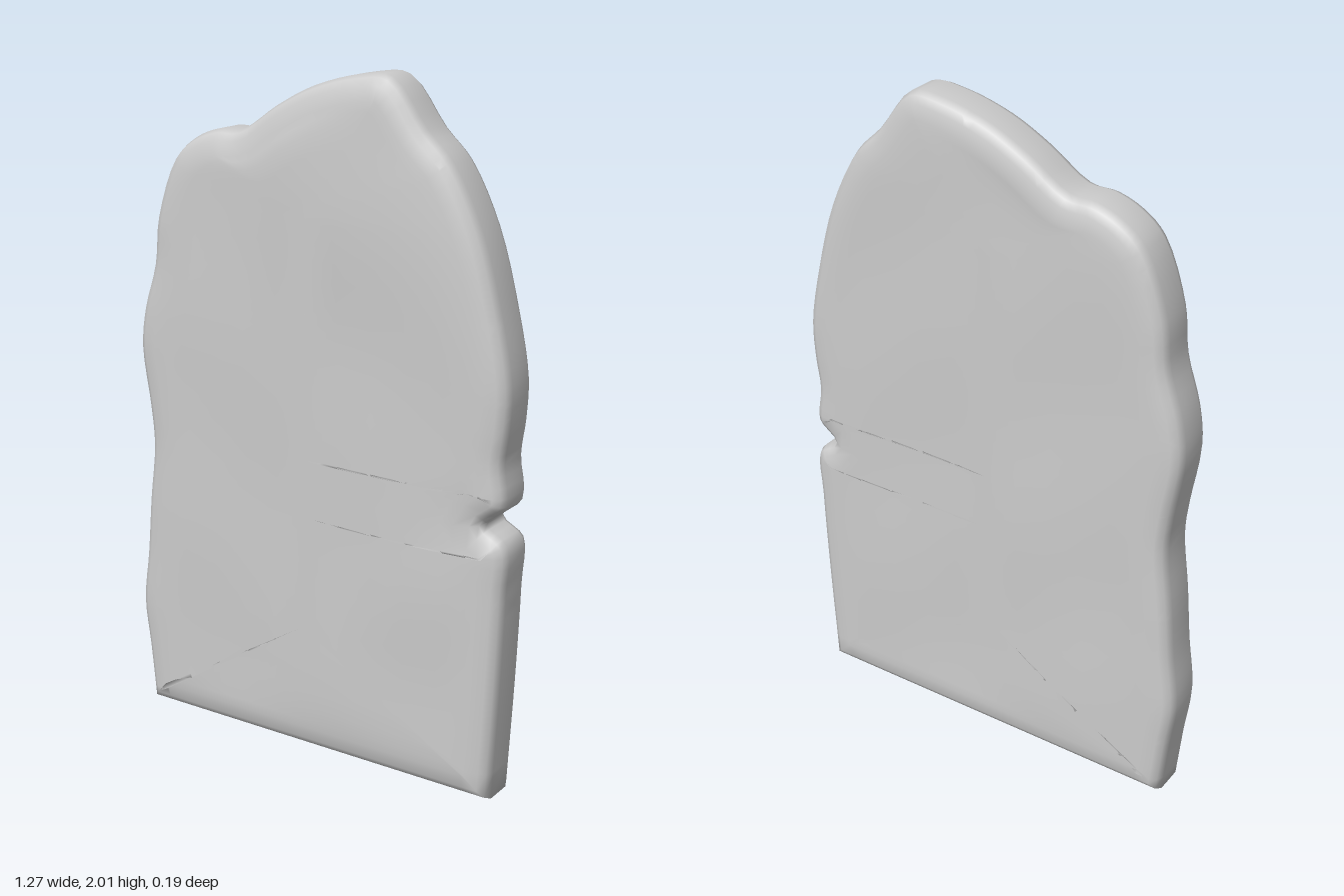
import * as THREE from 'three';

// Weathered silhouette, from the bottom left corner over the top to the bottom right
const OUTLINE = [
  [-0.6, 0], [-0.618, 0.18], [-0.635, 0.33], [-0.615, 0.5], [-0.6, 0.67], [-0.58, 0.85], [-0.59, 0.97],
  [-0.615, 1.15], [-0.6, 1.27], [-0.557, 1.41], [-0.54, 1.55], [-0.47, 1.73], [-0.4, 1.79], [-0.32, 1.82],
  [-0.24, 1.825], [-0.12, 1.9], [0, 1.96], [0.15, 2], [0.25, 2], [0.36, 1.87], [0.44, 1.79], [0.53, 1.62],
  [0.595, 1.4], [0.63, 1.22], [0.627, 1.1], [0.615, 1], [0.625, 0.88], [0.565, 0.82], [0.63, 0.77],
  [0.63, 0.62], [0.62, 0.33], [0.603, 0],
];

// One point inside each broken stone piece
const SEEDS = [
  [0.22, 1.89], [-0.06, 1.88], [-0.29, 1.76], [-0.42, 1.52], [-0.05, 1.4], [0.2, 1.64], [0.5, 1.56],
  [0.43, 1.29], [0.11, 1.1], [0.43, 1.02], [0.57, 0.93], [0.25, 0.85], [0.48, 0.75], [0.5, 0.6],
  [0.59, 0.47], [0.28, 0.55], [-0.03, 0.56], [-0.15, 0.92], [-0.39, 0.86], [-0.55, 0.82], [-0.44, 1.12],
  [-0.5, 1.34], [-0.5, 0.46], [-0.29, 0.49], [-0.34, 0.1], [0.21, 0.1],
].map(([x, y], i) => new THREE.Vector3(x, y, 0.05 * Math.sin(i * 2.4)));

// Rounded rim: inset from the silhouette and depth, front to back
const RIM = [
  [0.07, 0.08], [0.03, 0.072], [0.01, 0.058], [0, 0.035],
  [0, -0.05], [0.01, -0.073], [0.03, -0.086], [0.07, -0.09],
];
const INNER = [0, 0.2, 0.4, 0.6, 0.8, 0.92];

const bump = (x, y, cx, cy, r) => Math.exp(-((x - cx) ** 2 + (y - cy) ** 2) / (r * r));

// Gentle unevenness of the two broad faces
function faceOffset(x, y, front) {
  const wave = Math.sin(x * 8 + y * 3) * Math.sin(y * 6 - x * 2);
  if (!front) return 0.004 * wave;
  return 0.005 + 0.004 * wave + 0.01 * bump(x, y, 0.1, 1.58, 0.25) + 0.01 * bump(x, y, 0.38, 0.55, 0.18)
    - 0.018 * bump(x, y, 0.54, 0.84, 0.07);
}

function sampleOutline() {
  const curve = new THREE.CatmullRomCurve3(OUTLINE.map(([x, y]) => new THREE.Vector3(x, y, 0)));
  const pts = curve.getPoints((OUTLINE.length - 1) * 4);
  const first = pts[0], last = pts[pts.length - 1];
  for (let i = 1; i < 16; i++) pts.push(last.clone().lerp(first, i / 16));
  return pts;
}

// Whole slab: rings running from the front middle, round the rim, to the back middle
function slabGeometry() {
  const pts = sampleOutline(), n = pts.length;
  const inward = pts.map((p, i) => {
    const a = p.clone().sub(pts[(i + n - 1) % n]).normalize();
    const b = pts[(i + 1) % n].clone().sub(p).normalize();
    return new THREE.Vector3(a.y + b.y, -a.x - b.x, 0).divideScalar(Math.max(0.6, 1 + a.dot(b)));
  });
  const positions = [], index = [];
  const inset = (i, d) => pts[i].clone().addScaledVector(inward[i], d);
  const faceRing = (t, front) => {
    for (let i = 0; i < n; i++) {
      const p = inset(i, 0.07);
      const spine = new THREE.Vector3(0, THREE.MathUtils.clamp(p.y, 0.4, 1.6), 0);
      p.lerpVectors(spine, p.clone(), t);
      positions.push(p.x, p.y, (front ? 0.08 : -0.09) + faceOffset(p.x, p.y, front) * Math.min(1, (1 - t) * 5));
    }
  };
  INNER.forEach((t) => faceRing(t, true));
  for (const [d, z] of RIM) {
    for (let i = 0; i < n; i++) {
      const p = inset(i, d);
      positions.push(p.x, p.y, z);
    }
  }
  [...INNER].reverse().forEach((t) => faceRing(t, false));

  const rings = positions.length / 3 / n;
  for (let k = 0; k < rings - 1; k++) {
    for (let i = 0; i < n; i++) {
      const j = (i + 1) % n, a = k * n + i, b = k * n + j;
      index.push(a, b, a + n, b, b + n, a + n);
    }
  }
  const geo = new THREE.BufferGeometry();
  geo.setAttribute('position', new THREE.Float32BufferAttribute(positions, 3));
  geo.setIndex(index);
  geo.computeVertexNormals();
  // Both halves of each face meet smoothly along the middle line
  for (let i = 0; i < n; i++) {
    geo.attributes.normal.setXYZ(i, 0, 0, 1);
    geo.attributes.normal.setXYZ((rings - 1) * n + i, 0, 0, -1);
  }
  return geo.toNonIndexed();
}

// Cut a polygon of [position, normal] corners, keeping the side where the plane is negative
function clip(poly, plane) {
  const out = [];
  poly.forEach((a, i) => {
    const b = poly[(i + 1) % poly.length];
    const da = plane.distanceToPoint(a[0]), db = plane.distanceToPoint(b[0]);
    if (da <= 0) out.push(a);
    if ((da < 0 && db > 0) || (da > 0 && db < 0)) {
      const t = da / (da - db);
      out.push([a[0].clone().lerp(b[0], t), a[1].clone().lerp(b[1], t).normalize()]);
    }
  });
  return out;
}

// The part of the slab that lies nearest to one seed
function pieceGeometry(triangles, seed) {
  const planes = SEEDS.filter((s) => s !== seed).map((s) => new THREE.Plane().setFromNormalAndCoplanarPoint(
    s.clone().sub(seed).normalize(), s.clone().add(seed).multiplyScalar(0.5)));
  const positions = [], normals = [];
  for (const tri of triangles) {
    let poly = tri;
    for (const plane of planes) {
      poly = clip(poly, plane);
      if (poly.length < 3) break;
    }
    for (let i = 1; i < poly.length - 1; i++) {
      const [a, b, c] = [poly[0], poly[i], poly[i + 1]];
      if (new THREE.Triangle(a[0], b[0], c[0]).getArea() < 1e-9) continue;
      for (const [p, nrm] of [a, b, c]) {
        positions.push(p.x, p.y, p.z);
        normals.push(nrm.x, nrm.y, nrm.z);
      }
    }
  }
  const geo = new THREE.BufferGeometry();
  geo.setAttribute('position', new THREE.Float32BufferAttribute(positions, 3));
  geo.setAttribute('normal', new THREE.Float32BufferAttribute(normals, 3));
  return geo;
}

export function createModel() {
  const model = new THREE.Group();
  model.name = 'crackedStoneSlab';
  const stone = new THREE.MeshStandardMaterial({ color: 0xcccccc, side: THREE.DoubleSide });

  const { position, normal } = slabGeometry().attributes;
  const corner = (i) => [position, normal].map((attr) => new THREE.Vector3().fromBufferAttribute(attr, i));
  const triangles = [];
  for (let i = 0; i < position.count; i += 3) triangles.push([corner(i), corner(i + 1), corner(i + 2)]);

  // Broken pieces, fitted together
  SEEDS.forEach((seed, i) => {
    const mesh = new THREE.Mesh(pieceGeometry(triangles, seed), stone);
    mesh.name = `stonePiece${i + 1}`;
    model.add(mesh);
  });
  return model;
}
